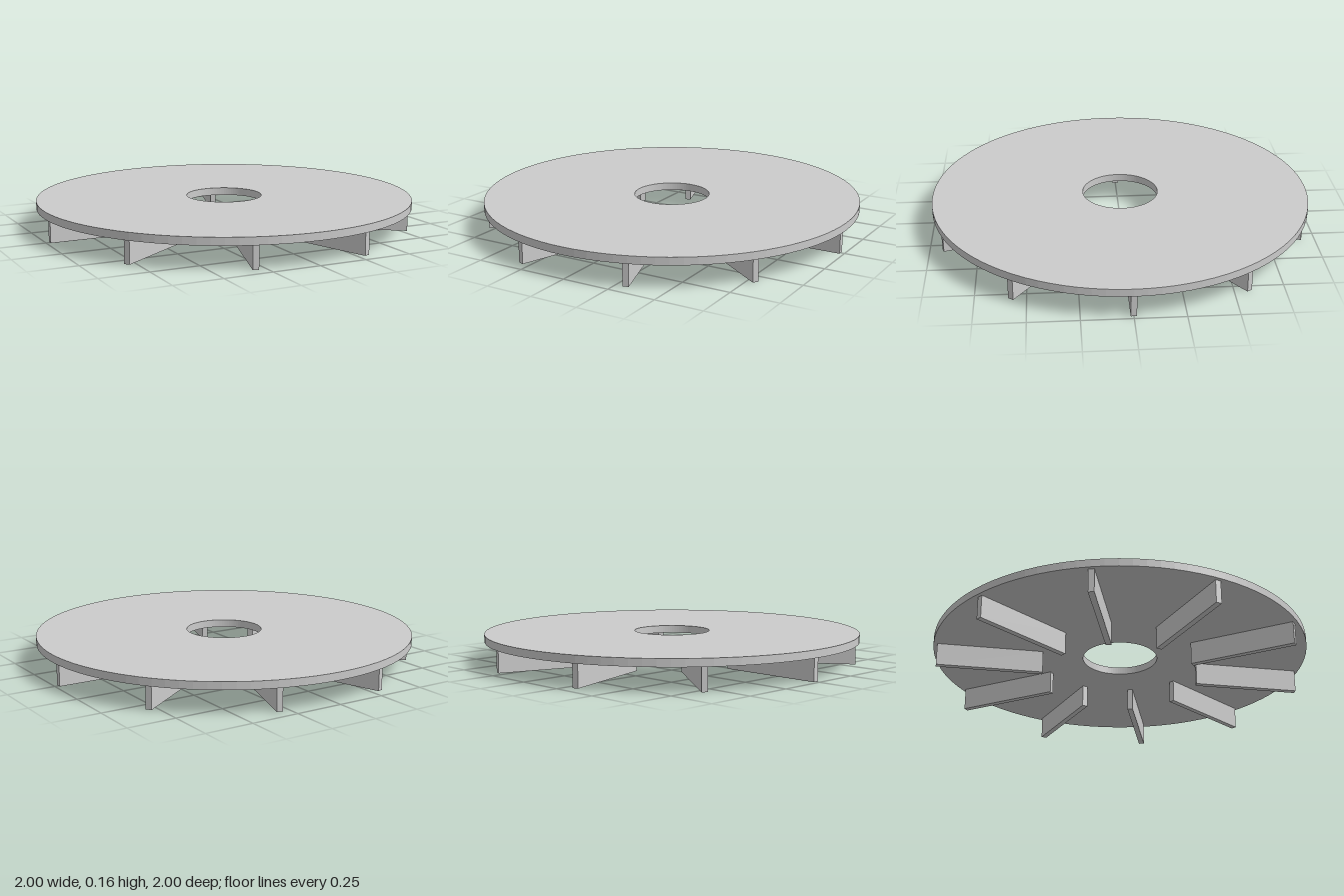
import * as THREE from 'three';

export function createModel() {
  const group = new THREE.Group();
  const material = new THREE.MeshStandardMaterial({ color: 0xcccccc, flatShading: true });

  const bladeHeight = 0.12, top = 0.16;
  const holeRadius = 0.2, discRadius = 1;
  const bladeInner = 0.42, bladeOuter = 0.98, bladeThickness = 0.03;
  const bladeCount = 10;

  // Flat disc with a central hole: a rectangle section turned about y
  const section = [
    [holeRadius, bladeHeight], [discRadius, bladeHeight],
    [discRadius, top], [holeRadius, top], [holeRadius, bladeHeight],
  ].map(([r, y]) => new THREE.Vector2(r, y));
  const disc = new THREE.Mesh(new THREE.LatheGeometry(section, 96), material);
  disc.name = 'disc';
  group.add(disc);

  // Straight radial blades on the underside
  const bladeGeometry = new THREE.BoxGeometry(bladeOuter - bladeInner, bladeHeight, bladeThickness);
  bladeGeometry.translate((bladeInner + bladeOuter) / 2, bladeHeight / 2, 0);
  const blades = new THREE.Group();
  blades.name = 'blades';
  for (let i = 0; i < bladeCount; i++) {
    const blade = new THREE.Mesh(bladeGeometry, material);
    blade.name = `blade${i + 1}`;
    blade.rotation.y = (i / bladeCount) * Math.PI * 2;
    blades.add(blade);
  }
  group.add(blades);

  return group;
}
